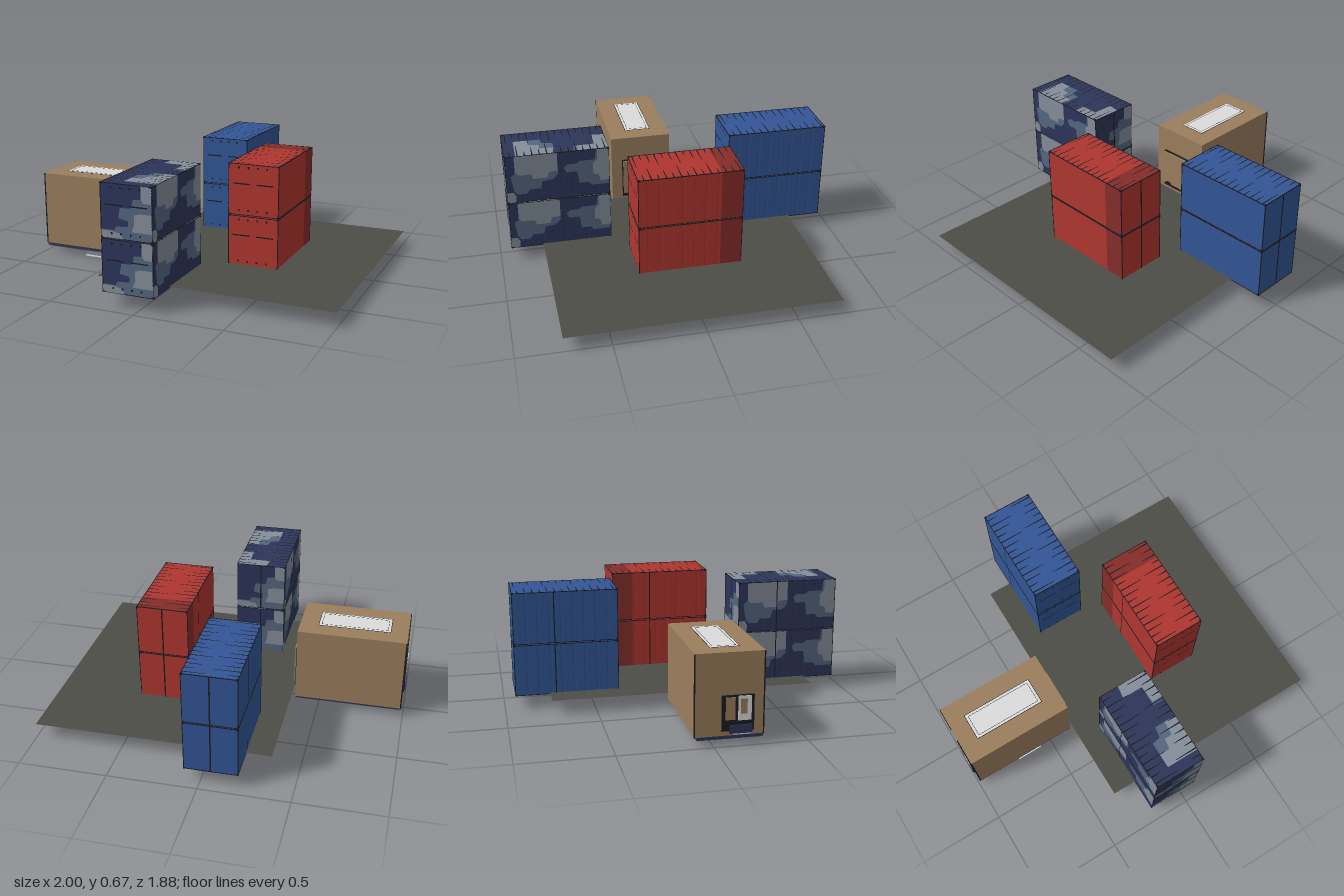
import * as THREE from 'three';

const mat = (name, color) => Object.assign(new THREE.MeshStandardMaterial({ color, side: THREE.DoubleSide }), { name });
const M = {
  tan: mat('tan', 0x9a7e5d), asphalt: mat('asphalt', 0x4d4d47), red: mat('red', 0xb0362f),
  darkRed: mat('dark red', 0x862d2a), blue: mat('blue', 0x325696), navy: mat('navy', 0x2d355a),
  slate: mat('slate', 0x54667e), pale: mat('pale grey', 0x848d99), black: mat('black', 0x1b1c22),
  white: mat('off white', 0xdcdcdc),
};

const W = 0.293, H = 0.289, L = 0.584;

function box(parent, name, m, w, h, d, x, y, z) {
  const b = new THREE.Mesh(new THREE.BoxGeometry(w, h, d), m);
  b.name = name;
  b.position.set(x, y, z);
  parent.add(b);
  return b;
}

// Flat drawing surface on one side of a container; local x, y lie in the face
function face(parent, side) {
  const g = new THREE.Group();
  g.name = side + 'Face';
  const e = 0.001;
  if (side === 'front') g.position.z = L / 2 + e;
  if (side === 'back') { g.position.z = -L / 2 - e; g.rotation.y = Math.PI; }
  if (side === 'right') { g.position.x = W / 2 + e; g.rotation.y = Math.PI / 2; }
  if (side === 'left') { g.position.x = -W / 2 - e; g.rotation.y = -Math.PI / 2; }
  if (side === 'top') { g.position.y = H / 2 + e; g.rotation.x = -Math.PI / 2; }
  if (side === 'bottom') { g.position.y = -H / 2 - e; g.rotation.x = Math.PI / 2; }
  parent.add(g);
  return g;
}

// Painted patch: polygon in face coordinates
function patch(f, m, pts, lift = 0) {
  const s = new THREE.Shape(pts.map(p => new THREE.Vector2(p[0], p[1])));
  const p = new THREE.Mesh(new THREE.ShapeGeometry(s), m);
  p.name = 'paintPatch';
  p.position.z = lift;
  f.add(p);
}
const rect = (a, b, c, d) => [[a, b], [c, b], [c, d], [a, d]];

// Plan outline with very shallow ribs down both long walls, pulled up to height
function corrugatedBody(m) {
  const n = 9, step = L / n, dip = 0.0006, half = [];
  for (let i = 0; i < n; i++) {
    const z = -L / 2 + i * step;
    half.push([W / 2, z], [W / 2, z + step * 0.7], [W / 2 - dip, z + step * 0.76], [W / 2 - dip, z + step * 0.94]);
  }
  half.push([W / 2, L / 2]);
  const pts = [...half, ...half.map(p => [-p[0], p[1]]).reverse()].map(p => new THREE.Vector2(...p));
  const g = new THREE.ExtrudeGeometry(new THREE.Shape(pts), { depth: H, bevelEnabled: false });
  g.rotateX(-Math.PI / 2).translate(0, -H / 2, 0);
  const b = new THREE.Mesh(g, m);
  b.name = 'corrugatedBody';
  return b;
}

function camouflage(f) {
  const w = W / 2, h = H / 2, l = L / 2;
  // End walls
  for (const s of ['front', 'back']) {
    patch(f[s], M.slate, [[-w, -h], [w, -h], [w, h], [0.095, h], [0.095, 0.075], [0.04, 0.07], [0.03, 0.025],
      [-0.035, 0.02], [-0.045, -0.035], [0.01, -0.045], [0.01, -0.075], [-0.06, -0.08], [-0.07, -0.1], [-w, -0.1]]);
    patch(f[s], M.pale, [[0.03, -0.1], [0.045, -0.06], [0.045, -0.01], [0.08, 0], [w, 0], [w, -0.1]], 0.001);
    patch(f[s], M.pale, [[0.1, 0.055], [w, 0.055], [w, h], [0.085, h], [0.085, 0.075]], 0.001);
    patch(f[s], M.pale, [[-w, -h], [-0.02, -h], [-0.03, -0.115], [-0.09, -0.105], [-w, -0.105]], 0.001);
  }
  // Long walls
  for (const s of ['right', 'left']) {
    patch(f[s], M.slate, [[-0.25, -0.075], [-0.23, -0.095], [-0.18, -0.095], [-0.165, -0.07], [-0.1, -0.07], [-0.09, -0.025],
      [-0.03, -0.02], [0.0, 0.01], [0, h], [-0.24, h], [-0.24, 0.04], [-0.265, 0.02]]);
    patch(f[s], M.pale, [[-0.24, 0.045], [-0.22, 0.025], [-0.15, 0.025], [-0.14, -0.005], [-0.06, -0.005], [-0.05, 0.03],
      [0, 0.035], [0, h], [-0.24, h]], 0.001);
    patch(f[s], M.pale, [[-l, -h], [-0.245, -h], [-0.24, -0.105], [-0.255, -0.08], [-l, -0.08]], 0.001);
    patch(f[s], M.slate, [[0.035, 0.045], [0.055, 0.065], [0.11, 0.065], [0.125, 0.08], [0.21, 0.08], [0.22, h], [l, h],
      [l, -0.08], [0.19, -0.08], [0.175, -0.06], [0.12, -0.06], [0.11, 0.015], [0.05, 0.015]]);
    patch(f[s], M.pale, [[0.2, -0.01], [0.2, 0.06], [0.225, 0.08], [0.225, h], [l, h], [l, -0.055], [0.24, -0.055], [0.23, -0.015]], 0.001);
  }
  // Roof and floor
  for (const s of ['top', 'bottom']) {
    patch(f[s], M.slate, [[-0.04, -0.23], [w, -0.23], [w, -0.01], [0.02, -0.01], [0.01, -0.07], [-0.04, -0.08]]);
    patch(f[s], M.pale, [[-0.04, -0.23], [w, -0.23], [w, -0.01], [0.08, -0.01], [0.075, -0.09], [0.03, -0.09], [0.02, -0.15], [-0.04, -0.15]], 0.001);
    patch(f[s], M.slate, rect(0.08, 0.1, w, 0.23));
    patch(f[s], M.pale, [[-0.04, 0.22], [0.08, 0.22], [0.085, 0.12], [w, 0.12], [w, l], [-0.03, l]], 0.001);
  }
}

function container(m, style) {
  const g = new THREE.Group();
  g.name = 'container';
  g.add(corrugatedBody(m));
  const f = {};
  for (const s of ['front', 'back', 'right', 'left', 'top', 'bottom']) f[s] = face(g, s);
  if (style === 'camo') camouflage(f);
  if (style === 'dark end') {
    patch(f.right, M.darkRed, rect(0.17, -H / 2, L / 2, H / 2));
    patch(f.left, M.darkRed, rect(-L / 2, -H / 2, -0.17, H / 2));
    patch(f.top, M.darkRed, rect(-W / 2, 0.17, W / 2, L / 2));
  }
  // Dark edge rails and corner castings
  const t = 0.004;
  for (const a of [-1, 1]) for (const b of [-1, 1]) {
    box(g, 'cornerPost', M.black, t, H, t, a * W / 2, 0, b * L / 2);
    box(g, 'sideRail', M.black, t, t, L, a * W / 2, b * H / 2, 0);
    box(g, 'endRail', M.black, W, t, t, 0, a * H / 2, b * L / 2);
    for (const c of [-1, 1])
      box(g, 'cornerCasting', M.black, 0.011, 0.009, 0.013, a * (W / 2 - 0.003), b * (H / 2 - 0.002), c * (L / 2 - 0.004));
  }
  // Tapered roof seams, longer and shorter from both edges
  for (let i = 0; i < 14; i++) {
    const y = -0.272 + i * 0.041, a = [0.14, 0.06, 0.1][i % 3], b = [0.06, 0.13, 0.05, 0.09][i % 4];
    patch(f.top, M.black, [[-W / 2, y - 0.004], [a - W / 2, y - 0.001], [a - W / 2, y + 0.002], [-W / 2, y + 0.004]], 0.002);
    patch(f.top, M.black, [[W / 2, y + 0.008], [W / 2, y + 0.016], [W / 2 - b, y + 0.013], [W / 2 - b, y + 0.01]], 0.002);
  }
  // Floor runners
  for (const x of [-0.11, -0.04, 0.04, 0.11]) patch(f.bottom, M.black, rect(x - 0.003, -0.27, x + 0.003, 0.27), 0.002);
  // Front rivets and slots
  for (const x of [-0.085, -0.03, 0.025, 0.08]) for (const y of [-0.118, 0.125])
    patch(f.front, M.black, rect(x - 0.005, y - 0.006, x + 0.005, y + 0.006), 0.002);
  for (const x of [-0.07, 0.07]) patch(f.front, M.black, rect(x - 0.05, 0.03, x + 0.05, 0.037), 0.002);
  // Door seams
  patch(f.back, M.black, rect(-0.004, -H / 2, 0.004, H / 2), 0.002);
  patch(f.left, M.black, rect(-0.067, -H / 2, -0.061, H / 2), 0.002);
  return g;
}

function stack(name, m, style, x, z) {
  const g = new THREE.Group();
  g.name = name;
  [0.2235, 0.5205].forEach(y => {
    const c = container(m, style);
    c.position.y = y;
    g.add(c);
  });
  g.position.set(x, 0, z);
  return g;
}

function cabin() {
  const g = new THREE.Group();
  g.name = 'cabin';
  box(g, 'cabinShell', M.tan, 0.62, 0.438, 0.365, -0.676, 0.274, 0.082);
  box(g, 'underframe', M.navy, 0.62, 0.016, 0.35, -0.676, 0.047, 0.087);
  box(g, 'underside', M.asphalt, 0.6, 0.008, 0.34, -0.676, 0.037, 0.087);
  // Roof skylight
  box(g, 'skylightFrame', M.black, 0.416, 0.002, 0.158, -0.68, 0.493, 0.08);
  box(g, 'skylight', M.white, 0.41, 0.002, 0.152, -0.68, 0.494, 0.08);
  for (const s of [-1, 1]) {
    box(g, 'skylightTrim', M.black, 0.38, 0.001, 0.002, -0.68, 0.495, 0.08 + s * 0.062);
    box(g, 'skylightTrim', M.black, 0.002, 0.001, 0.124, -0.68 + s * 0.19, 0.495, 0.08);
  }
  // Hatch and window at the outer end
  box(g, 'outerHatch', M.black, 0.008, 0.19, 0.17, -0.989, 0.175, 0.125);
  box(g, 'outerWindow', M.white, 0.006, 0.13, 0.07, -0.993, 0.2, 0.16);
  box(g, 'outerWindowPane', M.tan, 0.004, 0.08, 0.035, -0.995, 0.21, 0.155);
  box(g, 'outerPanel', M.tan, 0.006, 0.12, 0.05, -0.993, 0.2, 0.085);
  box(g, 'outerStep', M.navy, 0.018, 0.045, 0.12, -0.991, 0.09, 0.14);
  box(g, 'outerStepPlate', M.white, 0.02, 0.005, 0.1, -0.99, 0.065, 0.15);
  for (const z of [-0.1, 0.262]) box(g, 'cornerTrim', M.black, 0.008, 0.436, 0.006, -0.986, 0.274, z);
  // Door at the inner end
  box(g, 'innerDoorFrame', M.black, 0.014, 0.25, 0.24, -0.361, 0.22, 0.08);
  box(g, 'innerDoor', M.tan, 0.012, 0.22, 0.22, -0.35, 0.23, 0.085);
  box(g, 'doorHandle', M.black, 0.024, 0.018, 0.03, -0.345, 0.125, 0.15);
  // Gear hanging under the floor
  box(g, 'palePlate', M.pale, 0.15, 0.045, 0.035, -0.645, 0.0235, 0.235).rotation.x = 0.05;
  box(g, 'footPlate', M.white, 0.15, 0.006, 0.06, -0.645, 0.004, 0.23);
  box(g, 'navyBracket', M.navy, 0.11, 0.024, 0.08, -0.755, 0.03, 0.13);
  box(g, 'paleBracket', M.white, 0.1, 0.005, 0.07, -0.755, 0.0165, 0.13);
  box(g, 'tanBracket', M.tan, 0.04, 0.004, 0.04, -0.735, 0.0135, 0.13);
  box(g, 'smallBracket', M.black, 0.03, 0.02, 0.06, -0.52, 0.026, 0.15);
  box(g, 'longBracket', M.black, 0.12, 0.014, 0.03, -0.44, 0.03, 0.2);
  return g;
}

export function createModel() {
  const g = new THREE.Group();
  g.name = 'containerYard';
  // Paved ground sheet
  const ground = new THREE.Mesh(new THREE.PlaneGeometry(1.35, 1.5).rotateX(-Math.PI / 2), M.asphalt);
  ground.name = 'pavement';
  ground.position.set(0.325, 0.084, 0.002);
  g.add(ground, cabin(),
    stack('blueStack', M.blue, 'plain', -0.061, -0.648),
    stack('redStack', M.red, 'dark end', 0.368, -0.027),
    stack('camouflageStack', M.navy, 'camo', -0.061, 0.643));
  return g;
}
